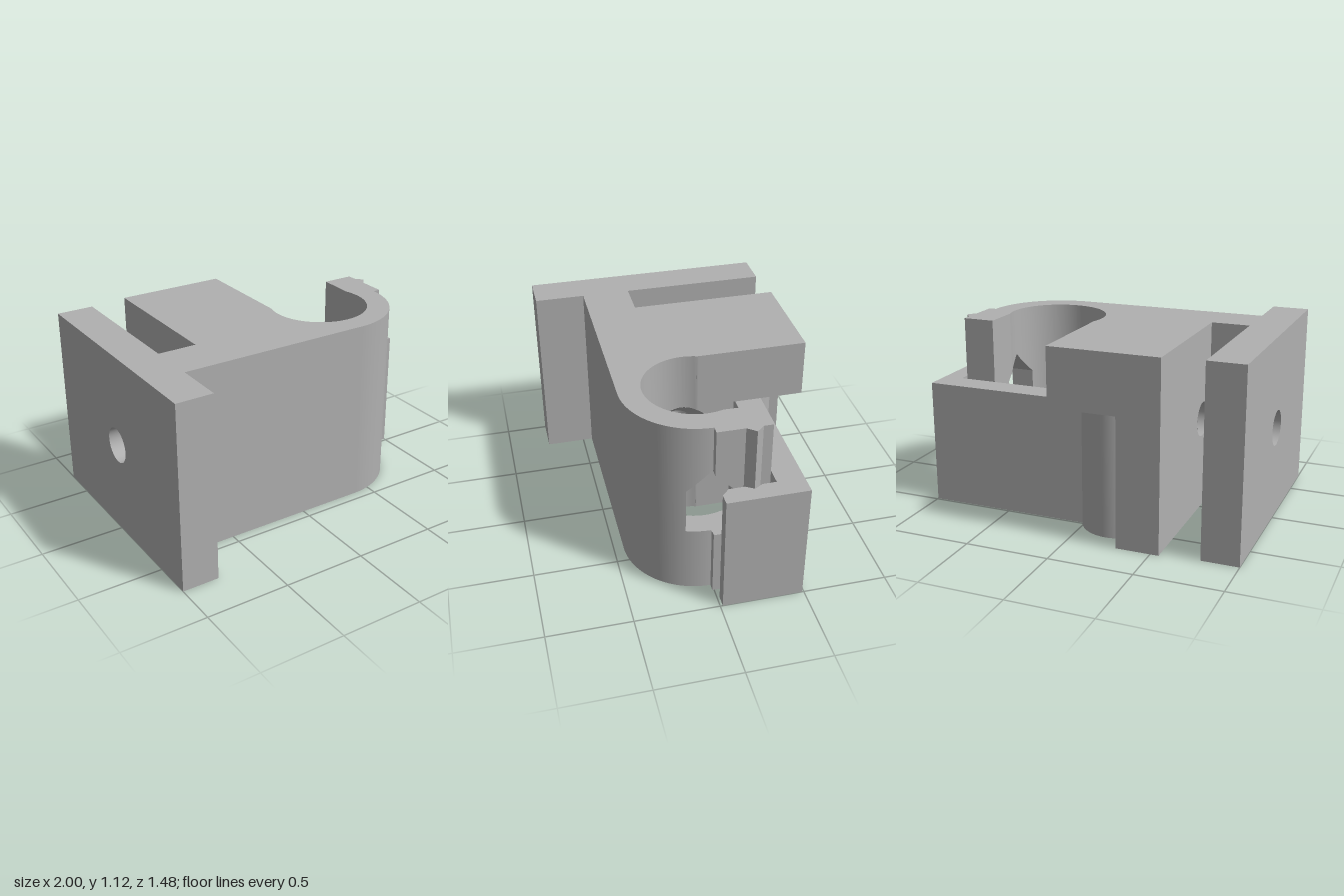
import * as THREE from 'three';
import { toCreasedNormals } from 'three/addons/utils/BufferGeometryUtils.js';

const H = 1.12;                 // full height
const STEP = 0.77;              // underside of the block above the hinge
const HOLE = { z: 0.015, y: 0.56, r: 0.105, sink: 0.21 };
const BORE = { x: 0.39, z: 0.01, r: 0.295, outer: 0.43 };
const HINGE = { x: -0.19, z: -0.41, pocket: 0.24, barrel: 0.22, eye: 0.153, pin: 0.133 };

// points on an arc in the ground plane, as [x, z]
function arc(cx, cz, r, a0, a1, n) {
  return Array.from({ length: n + 1 }, (_, i) => {
    const a = a0 + (a1 - a0) * i / n;
    return [cx + r * Math.cos(a), cz + r * Math.sin(a)];
  });
}

const flatShape = pts => new THREE.Shape(pts.map(([x, z]) => new THREE.Vector2(x, -z)));

// extrude a ground-plane shape upwards
function prism(shape, y0, y1) {
  const g = new THREE.ExtrudeGeometry(shape, { depth: y1 - y0, bevelEnabled: false, curveSegments: 48 });
  return g.rotateX(-Math.PI / 2).translate(0, y0, 0);
}

function fromTriangles(pos) {
  const g = new THREE.BufferGeometry();
  g.setAttribute('position', new THREE.Float32BufferAttribute(pos, 3));
  return g;
}

function pushQuad(pos, a, b, c, d) {
  pos.push(...a, ...b, ...c, ...a, ...c, ...d);
}

// surface between two rings of equal length
function loft(a, b) {
  const pos = [];
  for (let i = 0; i < a.length; i++) {
    const j = (i + 1) % a.length;
    pushQuad(pos, a[i], a[j], b[j], b[i]);
  }
  return fromTriangles(pos);
}

// vertical wall along a path, left open between the heights given by gap(x, z)
function wall(path, gap) {
  const pos = [];
  for (let i = 0; i + 1 < path.length; i++) {
    const [p, q] = [path[i], path[i + 1]];
    const n = Math.max(1, Math.ceil(Math.hypot(q[0] - p[0], q[1] - p[1]) / 0.01));
    for (let k = 0; k < n; k++) {
      const at = t => [p[0] + (q[0] - p[0]) * t, p[1] + (q[1] - p[1]) * t];
      const [a, m, b] = [at(k / n), at((k + 0.5) / n), at((k + 1) / n)];
      const strip = (a0, a1, b0, b1) => pushQuad(pos,
        [a[0], a0, a[1]], [b[0], b0, b[1]], [b[0], b1, b[1]], [a[0], a1, a[1]]);
      if (gap(...m)) {
        const ga = gap(...a) || gap(...m), gb = gap(...b) || gap(...m);
        strip(0, ga[0], 0, gb[0]);
        strip(ga[1], H, gb[1], H);
      } else strip(0, H, 0, H);
    }
  }
  return fromTriangles(pos);
}

// openings: round screw hole on the left, pointed access window in the jaw
const WIN = { half: 0.14, y0: 0.42, top: 0.84 };
function opening(x, z) {
  const d = Math.abs(z - HOLE.z);
  if (x > 0.5) {
    return d < WIN.half + 1e-4 && z < 0.2 ? [WIN.y0, WIN.top - d] : null;
  }
  if (z > 0.3) return null;
  const r = x < 0 ? HOLE.r : HOLE.sink;
  if (d >= r) return null;
  const h = Math.sqrt(r * r - d * d);
  return [HOLE.y - h, HOLE.y + h];
}

const boreHalf = z => z < -0.08 ? 0.281 : Math.sqrt(BORE.r ** 2 - (z - BORE.z) ** 2);
const jawOuter = z => z < BORE.z ? 0.865 : BORE.x + Math.sqrt(BORE.outer ** 2 - (z - BORE.z) ** 2);

// ring of the round hole, with x fixed or following a rule
function holeRing(r, xAt) {
  return Array.from({ length: 64 }, (_, i) => {
    const a = i / 64 * Math.PI * 2, z = HOLE.z + r * Math.cos(a);
    return [xAt(z), HOLE.y + r * Math.sin(a), z];
  });
}

// ring of the pointed window
function windowRing(xAt) {
  const n = 28, ring = [];
  for (let i = 0; i <= n; i++) {
    const z = HOLE.z - WIN.half + 2 * WIN.half * i / n;
    ring.push([xAt(z), WIN.y0, z]);
  }
  for (let i = n; i >= 0; i--) {
    const z = HOLE.z - WIN.half + 2 * WIN.half * i / n;
    ring.push([xAt(z), WIN.top - Math.abs(z - HOLE.z), z]);
  }
  return ring;
}

export function createModel() {
  const group = new THREE.Group();
  const grey = new THREE.MeshStandardMaterial({ color: 0xb0b0b0, side: THREE.DoubleSide });
  grey.name = 'plasticGrey';
  const add = (name, geometry, parent = group) => {
    const mesh = new THREE.Mesh(toCreasedNormals(geometry, 0.5), grey);
    mesh.name = name;
    parent.add(mesh);
    return mesh;
  };

  // mounting plate with a screw hole, extruded along x
  const plate = new THREE.Shape([[-0.74, 0], [0.71, 0], [0.71, H], [-0.74, H]].map(p => new THREE.Vector2(...p)));
  plate.holes.push(new THREE.Path().absarc(-HOLE.z, HOLE.y, HOLE.r, 0, Math.PI * 2, true));
  add('mountingPlate', new THREE.ExtrudeGeometry(plate, { depth: 0.22, bevelEnabled: false, curveSegments: 32 })
    .rotateY(Math.PI / 2).translate(-1, 0, 0));

  // web between plate and block
  add('web', new THREE.BoxGeometry(0.23, H, 0.29).translate(-0.665, H / 2, 0.295));

  // block over the hinge, and the lower block with the hinge pocket
  add('upperBlock', prism(flatShape([[-0.55, -0.74], [0.11, -0.74], [0.11, -0.12], [-0.55, -0.12]]), STEP, H));
  const { x: hx, z: hz } = HINGE;
  const a0 = Math.atan2(-0.2158, -0.105), a1 = Math.atan2(0.1, 0.2182) - Math.PI * 2;
  add('lowerBlock', prism(flatShape([
    [-0.55, -0.74], [-0.295, -0.74],
    ...arc(hx, hz, HINGE.pocket, a0, a1, 48),
    [0.11, -0.31], [0.11, -0.2], [0, -0.2], [0, -0.12], [-0.55, -0.12],
  ]), 0, STEP));

  // clamp body: curved jaw with a catch ridge at its tip
  const clamp = new THREE.Group();
  clamp.name = 'clampBody';
  group.add(clamp);
  const outline = [
    [0.11, -0.2], [0.11, -0.08],
    ...arc(BORE.x, BORE.z, BORE.r, Math.PI + 0.31, -0.31, 120),
    [0.675, -0.3], [0.865, -0.3], [0.865, -0.245], [0.905, -0.2], [0.865, -0.15], [0.865, BORE.z],
    ...arc(BORE.x, BORE.z, BORE.outer, 0, Math.PI / 2, 60),
    [-0.55, 0.44], [-0.55, -0.12],
  ];
  add('clampWalls', wall(outline, opening), clamp);
  const cap = flatShape([...outline, [0, -0.12], [0, -0.2]]);
  for (const [name, y] of [['clampBottom', 0], ['clampTop', H]]) {
    add(name, new THREE.ShapeGeometry(cap).rotateX(-Math.PI / 2).translate(0, y, 0), clamp);
  }
  add('accessWindow', loft(windowRing(z => BORE.x + boreHalf(z)), windowRing(jawOuter)), clamp);
  const throat = holeRing(HOLE.r, () => -0.03);
  add('countersink', loft(holeRing(HOLE.sink, z => BORE.x - boreHalf(z)), throat), clamp);
  add('screwHole', loft(throat, holeRing(HOLE.r, () => -0.55)), clamp);

  // swinging latch arm: barrel, bar and notched hook
  const b = Math.asin(0.08 / HINGE.barrel);
  const arm = flatShape([
    ...arc(hx, hz, HINGE.barrel, b, Math.PI * 2 - b, 64),
    [1, -0.49], [1, -0.015], [0.93, -0.015], [0.885, -0.06],
    [0.885, -0.15], [0.915, -0.2], [0.885, -0.25], [0.885, -0.33],
  ]);
  arm.holes.push(new THREE.Path().absarc(hx, -hz, HINGE.eye, 0, Math.PI * 2, true));
  add('latchArm', prism(arm, 0, 0.75));

  // hinge pin hanging from the upper block
  add('hingePin', new THREE.CylinderGeometry(HINGE.pin, HINGE.pin, 0.7, 48).translate(hx, 0.35, hz));
  add('hingePinNeck', new THREE.CylinderGeometry(0.085, HINGE.pin, 0.05, 48).translate(hx, 0.725, hz));
  add('hingePinRoot', new THREE.CylinderGeometry(0.085, 0.085, 0.03, 48).translate(hx, 0.76, hz));

  return group;
}
